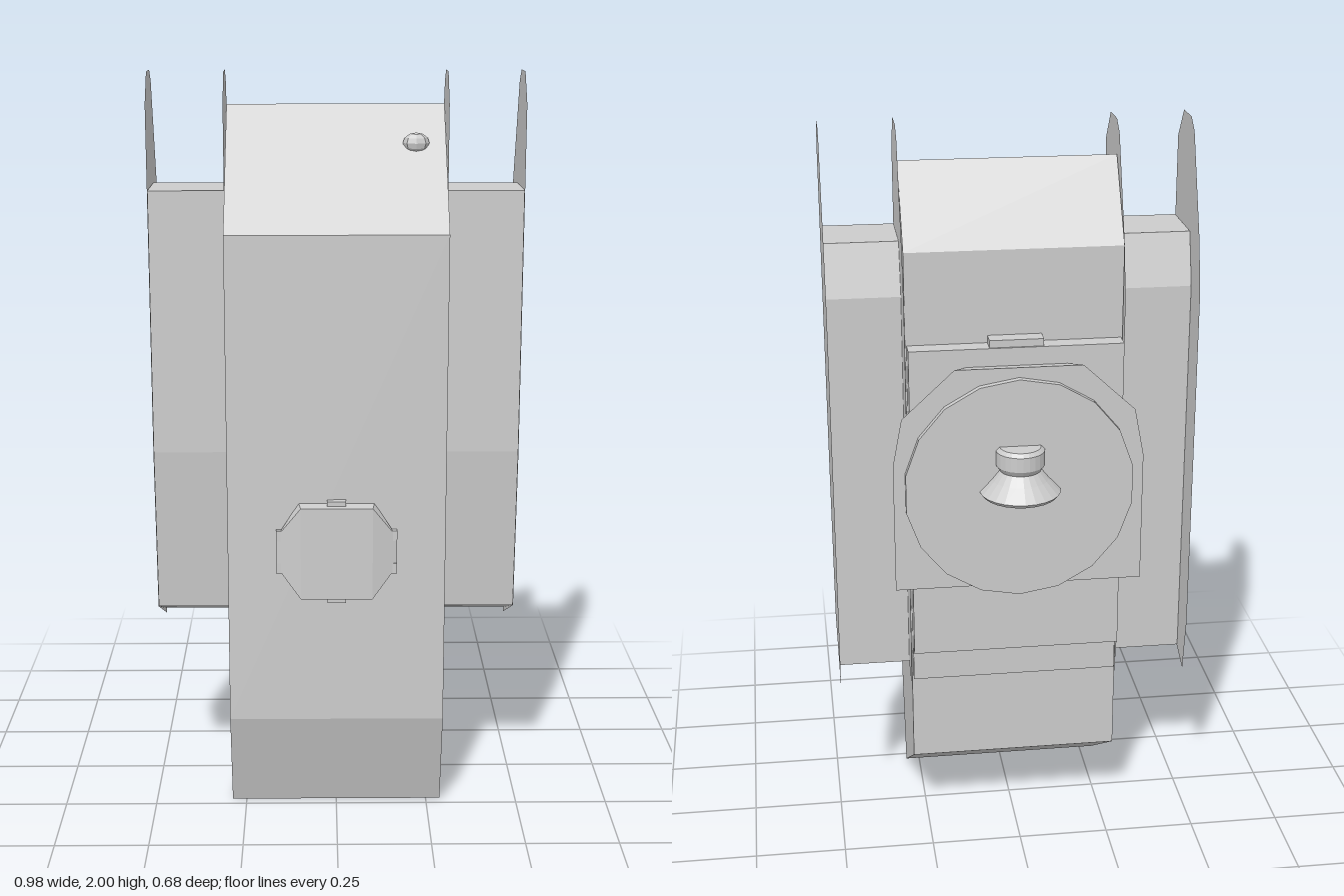
import * as THREE from 'three';
import { ConvexGeometry } from 'three/addons/geometries/ConvexGeometry.js';

const grey = new THREE.MeshStandardMaterial({ color: 0xcccccc, side: THREE.DoubleSide, flatShading: true });
grey.name = 'plain grey';

export function createModel() {
  const model = new THREE.Group();
  model.name = 'uprightArmouredVehicle';

  const add = (name, geometry, x = 0, y = 0, z = 0) => {
    const mesh = new THREE.Mesh(geometry, grey);
    mesh.name = name;
    mesh.position.set(x, y, z);
    model.add(mesh);
    return mesh;
  };
  const box = (name, w, y0, y1, z0, z1, x = 0) =>
    add(name, new THREE.BoxGeometry(w, y1 - y0, z1 - z0), x, (y0 + y1) / 2, (z0 + z1) / 2);
  // side profiles are lists of [z, y]
  const shapeOf = (pts) => new THREE.Shape(pts.map(([z, y]) => new THREE.Vector2(z, y)));
  const slab = (pts, width) =>
    new THREE.ExtrudeGeometry(shapeOf(pts), { depth: width, bevelEnabled: false })
      .translate(0, 0, -width / 2).rotateY(-Math.PI / 2);
  // convex solid from [x, y, z] points mirrored across x = 0
  const mirroredSolid = (pts) =>
    new ConvexGeometry(pts.flatMap(([x, y, z]) => [new THREE.Vector3(x, y, z), new THREE.Vector3(-x, y, z)]));

  // hull
  add('hull', slab([
    [0.305, 0.28], [0.22, 0.005], [-0.11, 0.215], [-0.115, 1.7], [0.02, 1.91], [0.305, 1.6],
  ], 0.578));

  // track blocks, each between two thin side sheets
  const track = [[0.19, 1.7], [0.005, 1.7], [-0.035, 1.56], [-0.035, 0.48], [0.15, 0.55], [0.19, 1.0]];
  const sheet = [
    [0.19, 1.92], [0.13, 2], [0.04, 2], [0.0, 1.97], [-0.105, 1.7], [-0.135, 1.56],
    [-0.135, 0.6], [-0.105, 0.44], [0.15, 0.55], [0.19, 1.0],
  ];
  for (const s of [1, -1]) {
    add('trackBlock', slab(track, 0.198), s * 0.39);
    for (const x of [0.291, 0.49]) {
      add('trackSheet', new THREE.ShapeGeometry(shapeOf(sheet)).rotateY(-Math.PI / 2), s * x);
    }
  }

  // stepped deck and its front hatch
  box('deck', 0.57, 0.57, 1.45, -0.165, -0.1);
  box('lowerDeck', 0.57, 0.47, 0.6, -0.127, -0.1);
  box('deckHatch', 0.144, 1.4, 1.47, -0.16, -0.1);

  // turret with flared cheeks
  add('turret', mirroredSolid([
    [0.17, 1.41, -0.21], [0.31, 1.28, -0.21], [0.335, 1.15, -0.21], [0.335, 0.79, -0.21],
    [0.13, 1.4, -0.16], [0.29, 1.17, -0.05], [0.28, 0.8, -0.16],
  ]));
  add('turretRoofDisc', new THREE.CylinderGeometry(0.308, 0.308, 0.022, 18).rotateX(Math.PI / 2), 0, 1.075, -0.218);

  // bell-shaped fitting on the roof
  const bell = [[0, 1.2], [0.055, 1.2], [0.065, 1.19], [0.065, 1.15], [0.055, 1.135], [0.075, 1.11], [0.108, 1.075], [0.1, 1.065], [0.05, 1.12]];
  add('roofBell', new THREE.LatheGeometry(bell.map(([r, y]) => new THREE.Vector2(r, y)), 12, Math.PI / 2, Math.PI), 0, 0, -0.232);

  // belly hatch with lugs
  const hatch = [];
  for (const s of [1, -1]) {
    hatch.push([0.095, 0.76 + s * 0.125, 0.34], [0.1, 0.76 + s * 0.13, 0.3],
      [0.16, 0.76 + s * 0.04, 0.318], [0.125, 0.76 + s * 0.085, 0.3]);
    box('hatchHinge', 0.05, 0.76 + s * 0.128 - 0.012, 0.76 + s * 0.128 + 0.012, 0.3, 0.325);
    for (const y of [0.715, 0.805]) box('hatchLug', 0.036, y - 0.014, y + 0.014, 0.3, 0.322, s * 0.142);
  }
  add('bellyHatch', mirroredSolid(hatch));

  // lamp on the sloping nose
  add('lamp', new THREE.SphereGeometry(1, 8, 6).scale(0.035, 0.027, 0.025), 0.21, 1.815, 0.111);

  return model;
}
